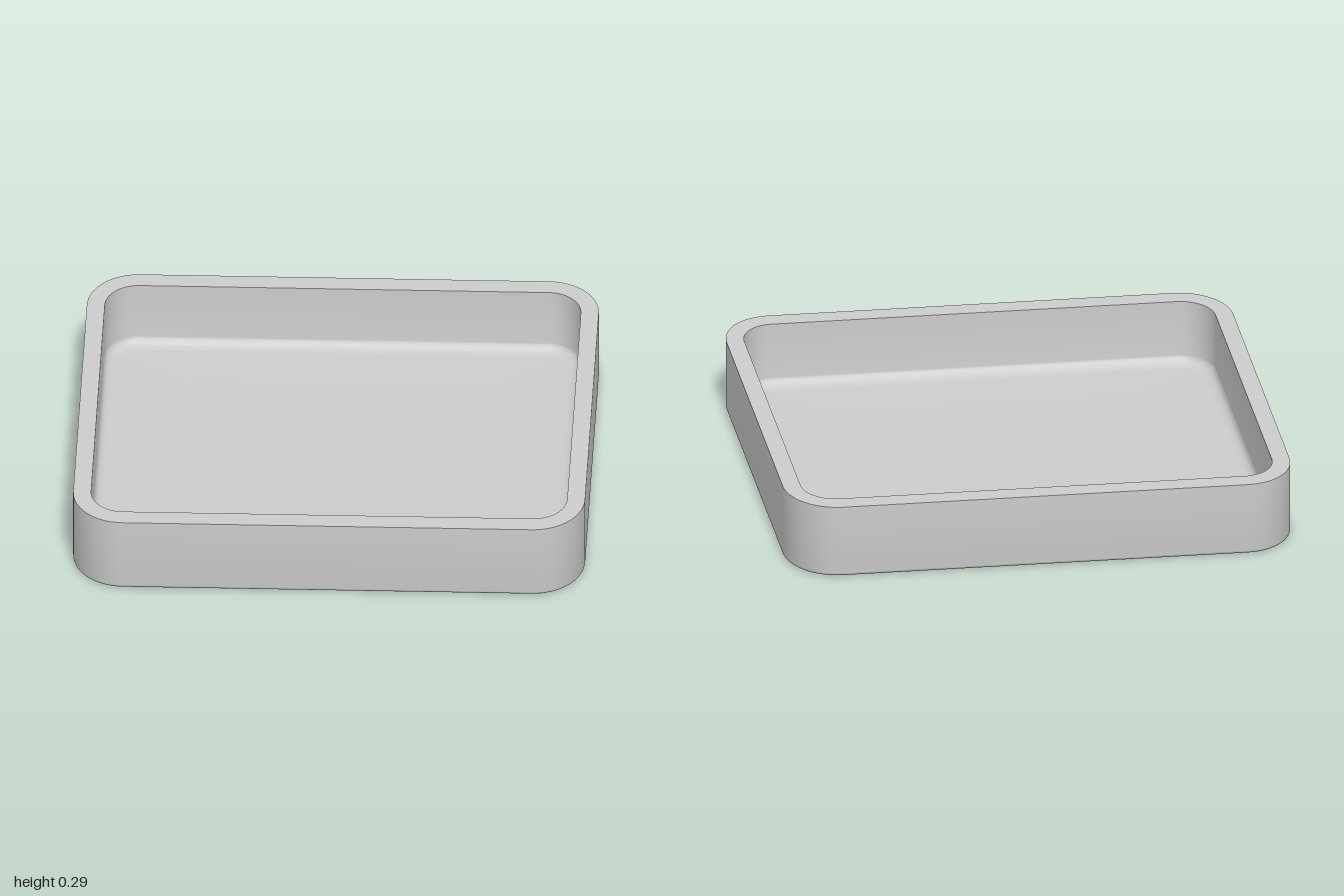
import * as THREE from 'three';
import { toCreasedNormals } from 'three/addons/utils/BufferGeometryUtils.js';

const HEIGHT = 0.29, WALL_X = 0.07, WALL_Z = 0.09;
const CORNER_X = 0.2, CORNER_Z = 0.25, CORNER_SEGMENTS = 16;

// Rounded outline, inset from the outer edge by dx and dz, at height y
function ring(dx, dz, y) {
  const points = [];
  for (let q = 0; q < 4; q++) {
    const sx = q === 0 || q === 3 ? 1 : -1, sz = q < 2 ? -1 : 1;
    for (let i = 0; i <= CORNER_SEGMENTS; i++) {
      const a = (q + i / CORNER_SEGMENTS) * Math.PI / 2;
      points.push(new THREE.Vector3(
        sx * (1 - CORNER_X) + Math.cos(a) * (CORNER_X - dx), y,
        sz * (1 - CORNER_Z) - Math.sin(a) * (CORNER_Z - dz)));
    }
  }
  return points;
}

// Rings following a quarter round; t runs from 0 to 90 degrees
function arc(steps, place) {
  return Array.from({ length: steps + 1 }, (_, i) => {
    const t = i / steps * Math.PI / 2;
    return ring(...place(Math.cos(t), Math.sin(t)));
  });
}

// Skin the rings, closing both ends with a fan
function skin(rings) {
  const positions = [], n = rings[0].length;
  const add = (...corners) => corners.forEach(p => positions.push(p.x, p.y, p.z));
  const first = rings[0], last = rings[rings.length - 1];
  const start = new THREE.Vector3(0, first[0].y, 0), end = new THREE.Vector3(0, last[0].y, 0);
  for (let j = 0; j < n; j++) {
    const k = (j + 1) % n;
    add(start, first[k], first[j]);
    for (let i = 0; i < rings.length - 1; i++) {
      const a = rings[i], b = rings[i + 1];
      add(a[j], a[k], b[k]);
      add(a[j], b[k], b[j]);
    }
    add(last[j], last[k], end);
  }
  const geometry = new THREE.BufferGeometry();
  geometry.setAttribute('position', new THREE.Float32BufferAttribute(positions, 3));
  return toCreasedNormals(geometry, Math.PI / 6);
}

export function createModel() {
  const group = new THREE.Group();
  group.name = 'tray';

  const edge = 0.012, floor = 0.03, filletX = 0.05, filletZ = 0.06, filletY = 0.035;
  const rings = [
    // softened bottom edge
    ...arc(4, (c, s) => [edge * (1 - s), edge * (1 - s), edge * (1 - c)]),
    // outer wall and flat rim
    ring(0, 0, HEIGHT),
    ring(WALL_X, WALL_Z, HEIGHT),
    // inner wall, then the fillet into the floor
    ...arc(8, (c, s) => [
      WALL_X + filletX * (1 - c), WALL_Z + filletZ * (1 - c), floor + filletY * (1 - s)]),
  ];

  const body = new THREE.Mesh(skin(rings), new THREE.MeshStandardMaterial({ color: 0xcccccc }));
  body.name = 'trayBody';
  group.add(body);
  return group;
}
